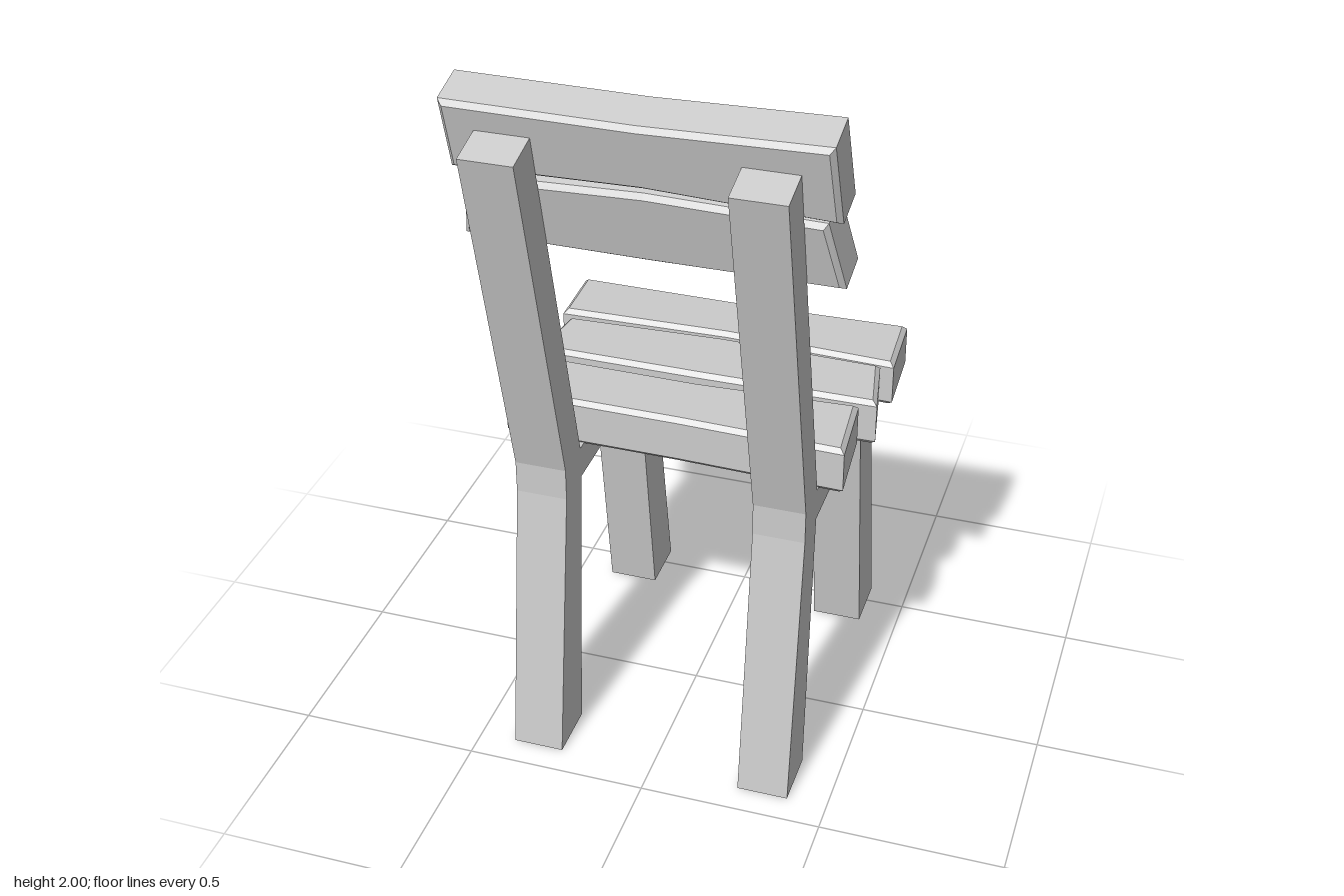
import * as THREE from 'three';

const material = new THREE.MeshStandardMaterial({ color: 0xcccccc, flatShading: true, side: THREE.DoubleSide });
const toShape = pts => new THREE.Shape(pts.map(p => new THREE.Vector2(...p)));

const THICK = 0.135, BEVEL = 0.013, TILT = Math.atan(0.25);

// Uneven plank outlines, centred on their own middle: [x, v]
const wide = [[-0.48, -0.1], [0, -0.088], [0.48, -0.11], [0.468, 0.11], [0, 0.096], [-0.485, 0.1]];
const tapered = [[-0.476, -0.094], [0, -0.098], [0.482, -0.095], [0.445, 0.1], [0, 0.112], [-0.45, 0.094]];
const skewed = [[-0.476, -0.096], [0, -0.1], [0.456, -0.114], [0.437, 0.116], [0, 0.095], [-0.46, 0.102]];

// Side profile of one frame: [z, y]
const profile = [
  [0.26, 0], [0.42, 0], [0.313, 0.78], [0.313, 0.87], [0.562, 1.865], [0.455, 1.89],
  [0.2, 0.87], [-0.42, 0.87], [-0.42, 0.78], [-0.56, 0], [-0.4, 0], [-0.285, 0.78], [0.2, 0.78],
];

function plank(name, outline, y, z, angle) {
  const geo = new THREE.ExtrudeGeometry(toShape(outline), {
    depth: THICK - 2 * BEVEL, bevelThickness: BEVEL, bevelSize: BEVEL, bevelOffset: -BEVEL, bevelSegments: 1,
  });
  geo.translate(0, 0, BEVEL - THICK / 2);
  const mesh = new THREE.Mesh(geo, material);
  mesh.name = name;
  mesh.rotation.x = angle;
  mesh.position.set(0, y, z);
  return mesh;
}

// Legs, seat rail and back post in one piece, with the feet left open
function sideFrame(name, x) {
  const width = 0.14;
  const geo = new THREE.ExtrudeGeometry(toShape(profile), { depth: width, bevelEnabled: false });
  const p = geo.attributes.position, kept = [];
  for (let i = 0; i < p.count; i += 3) {
    if (Math.max(p.getY(i), p.getY(i + 1), p.getY(i + 2)) < 0.001) continue;
    for (let k = i; k < i + 3; k++) kept.push(p.getX(k), p.getY(k), p.getZ(k));
  }
  const open = new THREE.BufferGeometry();
  open.setAttribute('position', new THREE.Float32BufferAttribute(kept, 3));
  open.translate(0, 0, -width / 2).rotateY(-Math.PI / 2);
  open.computeVertexNormals();
  const mesh = new THREE.Mesh(open, material);
  mesh.name = name;
  mesh.position.x = x;
  return mesh;
}

export function createModel() {
  const chair = new THREE.Group();
  chair.name = 'chair';

  chair.add(sideFrame('rightFrame', -0.33), sideFrame('leftFrame', 0.32));

  // Seat planks lie flat on the rails
  const seat = new THREE.Group();
  seat.name = 'seat';
  [[wide, -0.37], [tapered, -0.15], [skewed, 0.08]].forEach(([outline, z], i) =>
    seat.add(plank('seatPlank' + (i + 1), outline, 1 - THICK / 2, z, -Math.PI / 2)));
  chair.add(seat);

  // Backrest planks lean against the posts
  const backrest = new THREE.Group();
  backrest.name = 'backrest';
  [[wide, 1.863], [tapered, 1.655]].forEach(([outline, y], i) => {
    const backZ = 0.2 + 0.25 * (y - 0.87);
    backrest.add(plank('backPlank' + (i + 1), outline,
      y + Math.sin(TILT) * THICK / 2, backZ - Math.cos(TILT) * THICK / 2, TILT));
  });
  chair.add(backrest);

  return chair;
}
